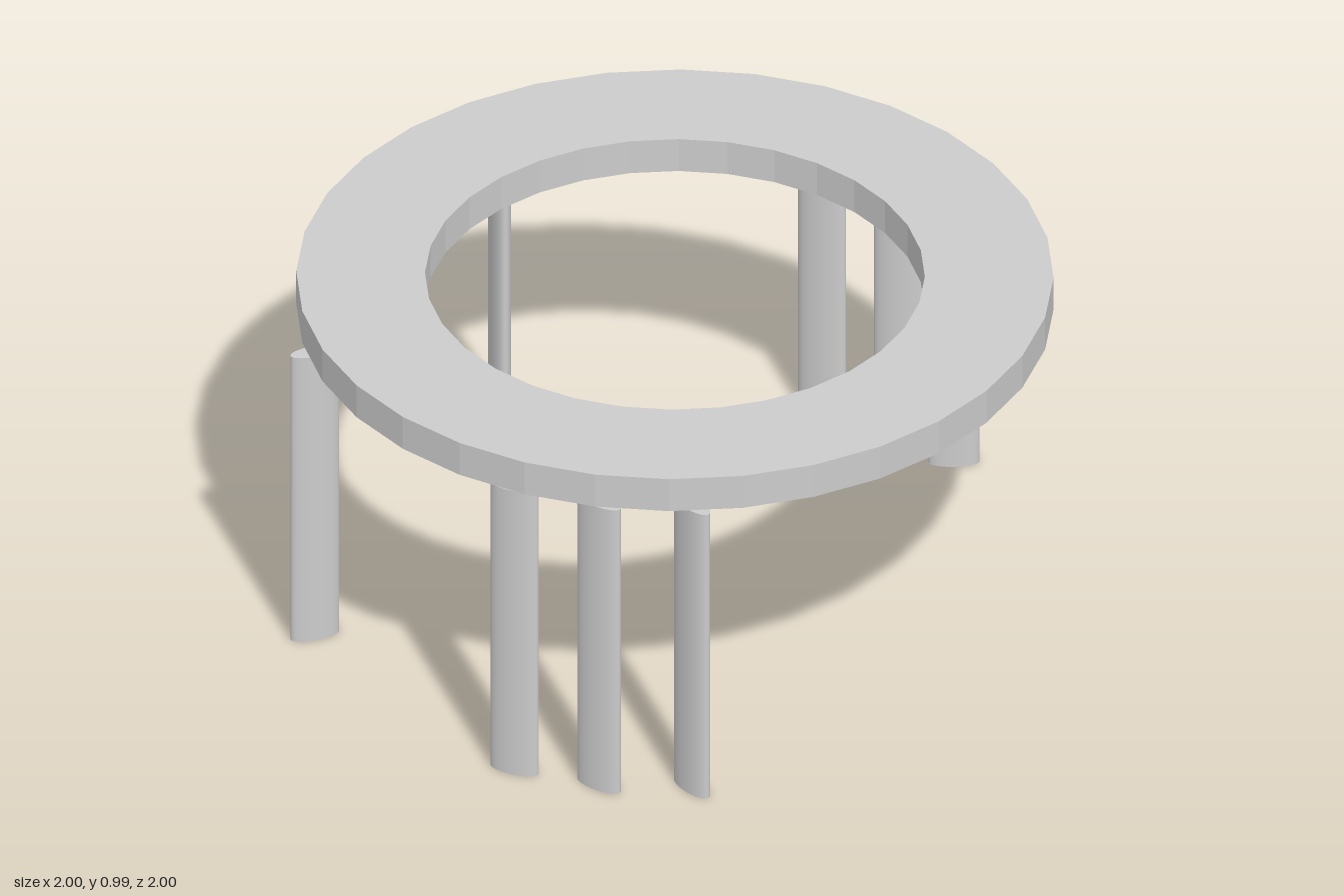
import * as THREE from 'three';

const SIDES = 32;
const UNDERSIDE = 0.89;
const TOP = 0.99;

// Closed polygon of the given radius, with a corner on the x axis
function polygon(radius) {
  return Array.from({ length: SIDES }, (_, i) => {
    const a = (i / SIDES) * Math.PI * 2;
    return new THREE.Vector2(Math.cos(a) * radius, Math.sin(a) * radius);
  });
}

export function createModel() {
  const group = new THREE.Group();
  const ringMaterial = new THREE.MeshStandardMaterial({ color: 0xcccccc, flatShading: true });
  const legMaterial = new THREE.MeshStandardMaterial({ color: 0xcccccc });

  // Flat faceted ring top with a round opening
  const shape = new THREE.Shape(polygon(1));
  shape.holes.push(new THREE.Path(polygon(0.66)));
  const ringGeometry = new THREE.ExtrudeGeometry(shape, { depth: TOP - UNDERSIDE, bevelEnabled: false });
  ringGeometry.rotateX(-Math.PI / 2);
  ringGeometry.translate(0, UNDERSIDE, 0);
  const ring = new THREE.Mesh(ringGeometry, ringMaterial);
  ring.name = 'ringTop';
  group.add(ring);

  // Oval legs below the rim: name, x, z, turn in degrees
  const legs = [
    ['frontLegRight', -0.04, 0.972, 0],
    ['frontLegMiddle', 0.195, 0.953, 12],
    ['frontLegLeft', 0.425, 0.867, 27],
    ['sideLegFront', -0.785, 0.58, -44],
    ['sideLegBack', -0.765, -0.6, 53],
    ['backLegRight', 0.005, -0.966, 0],
    ['backLegMiddle', 0.235, -0.947, -11],
    ['backLegLeft', 0.427, -0.866, -25],
  ];
  const legGeometry = new THREE.CylinderGeometry(1, 1, UNDERSIDE, 32);
  legGeometry.scale(0.068, 1, 0.026);
  legGeometry.translate(0, UNDERSIDE / 2, 0);
  for (const [name, x, z, turn] of legs) {
    const leg = new THREE.Mesh(legGeometry, legMaterial);
    leg.name = name;
    leg.position.set(x, 0, z);
    // positive turn about y swings the +x end of the oval towards -z
    leg.rotation.y = -THREE.MathUtils.degToRad(turn) * Math.sign(z) * Math.sign(z) * -1 * Math.sign(1) * -1;
    group.add(leg);
  }
  return group;
}
